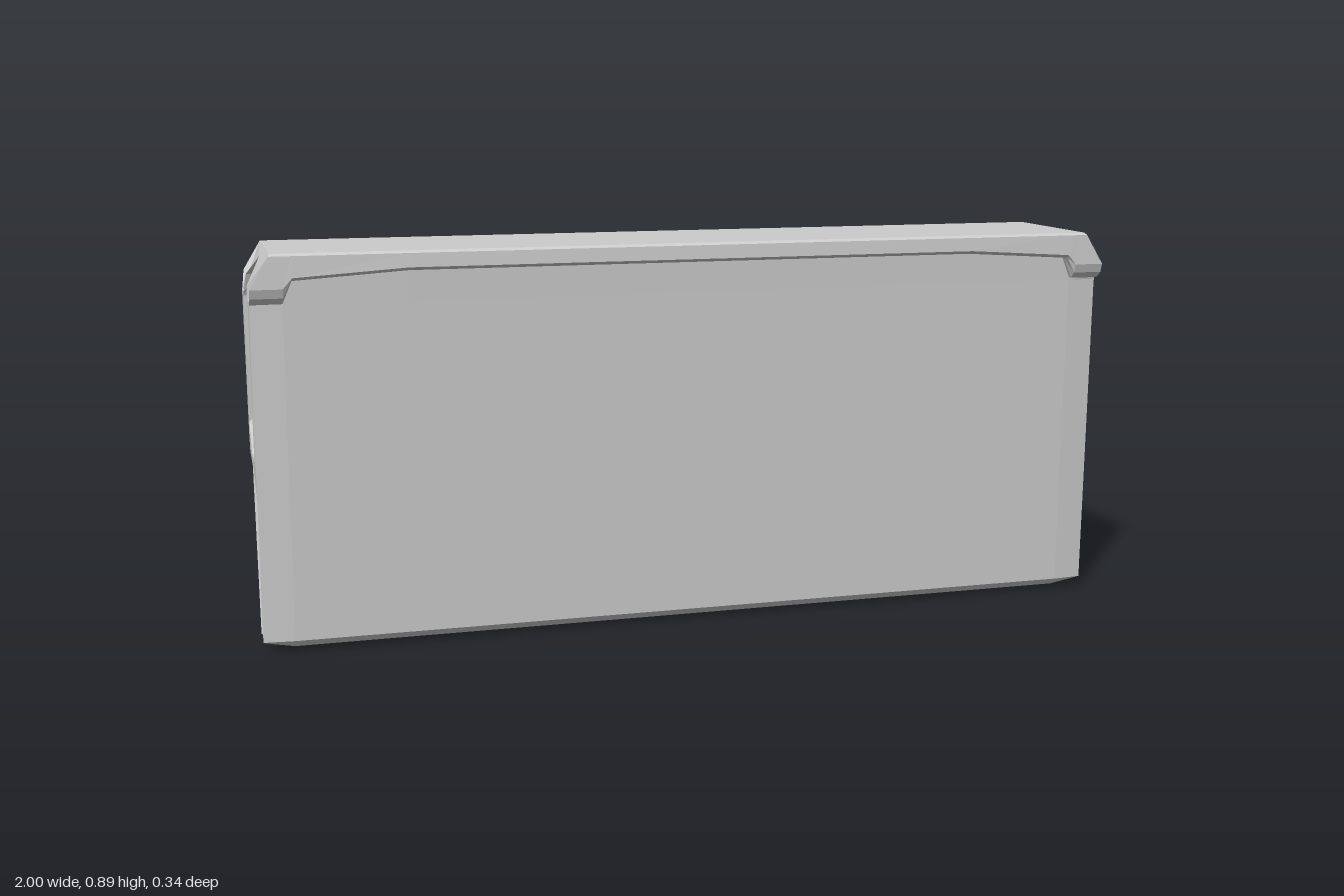
import * as THREE from 'three';

const material = new THREE.MeshStandardMaterial({ color: 0xcccccc, flatShading: true, side: THREE.DoubleSide });

// Positions along the length where a cross-section may change
const STATIONS = [-1, -0.93, -0.91, -0.66, 0.66, 0.91, 0.93, 1];

// Extrudes a [z, y] profile along x, then reshapes each station with rule(v, |x|)
function profilePart(name, profile, rule) {
  const shape = new THREE.Shape(profile.map(([z, y]) => new THREE.Vector2(-z, y)));
  const steps = STATIONS.length - 1;
  const geometry = new THREE.ExtrudeGeometry(shape, { depth: steps, steps, bevelEnabled: false });
  geometry.rotateY(Math.PI / 2);
  const pos = geometry.attributes.position;
  const v = new THREE.Vector3();
  for (let i = 0; i < pos.count; i++) {
    v.fromBufferAttribute(pos, i);
    v.x = STATIONS[Math.round(v.x)];
    rule(v, Math.abs(v.x));
    pos.setXYZ(i, v.x, v.y, v.z);
  }
  geometry.computeVertexNormals();
  const mesh = new THREE.Mesh(geometry, material);
  mesh.name = name;
  return mesh;
}

export function createModel() {
  const group = new THREE.Group();
  group.name = 'hangingPanel';

  // Long front panel, tunnel floor and short back flap in one section
  const body = [
    [0.142, 0.865], [0.14, 0.78], [0.126, 0.03], [0.105, 0.012], [0.05, 0.004], [0.02, 0.014],
    [0.004, 0.03], [-0.008, 0.375], [-0.1, 0.42], [-0.118, 0.46], [-0.15, 0.78], [-0.152, 0.865],
    [-0.08, 0.865], [-0.088, 0.78], [-0.087, 0.49], [-0.01, 0.43], [0.072, 0.43], [0.09, 0.78], [0.082, 0.865],
  ];
  group.add(profilePart('panelBody', body, (v, ax) => {
    if (ax === 1) {
      if (v.y > 0.8) v.y = 0.79;                      // arms end inside the cap corners
      if (v.z > 0.12) v.z -= 0.006;                   // eased front edge
      if (v.z < 0.03 && v.y < 0.36) v.z += 0.125 * (0.4 - v.y); // tapered rear corner
      if (Math.abs(v.y - 0.375) < 0.001) v.y = 0.405;
      if (v.y < 0.02) { v.x *= 0.975; v.y += 0.008; } // rounded lower corner
    } else {
      if (v.z > 0.06 && Math.abs(v.y - 0.43) < 0.001) v.z = 0.052; // tunnel narrows inside
      if (v.z < -0.08 && Math.abs(v.y - 0.49) < 0.001) v.y = 0.57;
    }
  }));

  // Arched cap with overhanging lips that drop down at both ends
  const cap = [
    [0.16, 0.895], [0.17, 0.89], [0.172, 0.82], [0.165, 0.8], [0.15, 0.787], [0.09, 0.775],
    [0.08, 0.82], [0.0, 0.875], [-0.07, 0.83], [-0.088, 0.78], [-0.153, 0.78],
    [-0.169, 0.83], [-0.17, 0.895],
  ];
  group.add(profilePart('topCap', cap, (v, ax) => {
    if (ax === 1) {
      v.x *= 1 - Math.max(0, v.y - 0.82) * 0.6;       // sloping end corners
    } else if (ax < 0.92 && v.y < 0.85 && Math.abs(v.z) > 0.085) {
      v.y = (ax > 0.8 ? 0.832 : 0.848) + (v.y - 0.775) * 0.25; // raised lip between the ends
    }
  }));

  return group;
}
